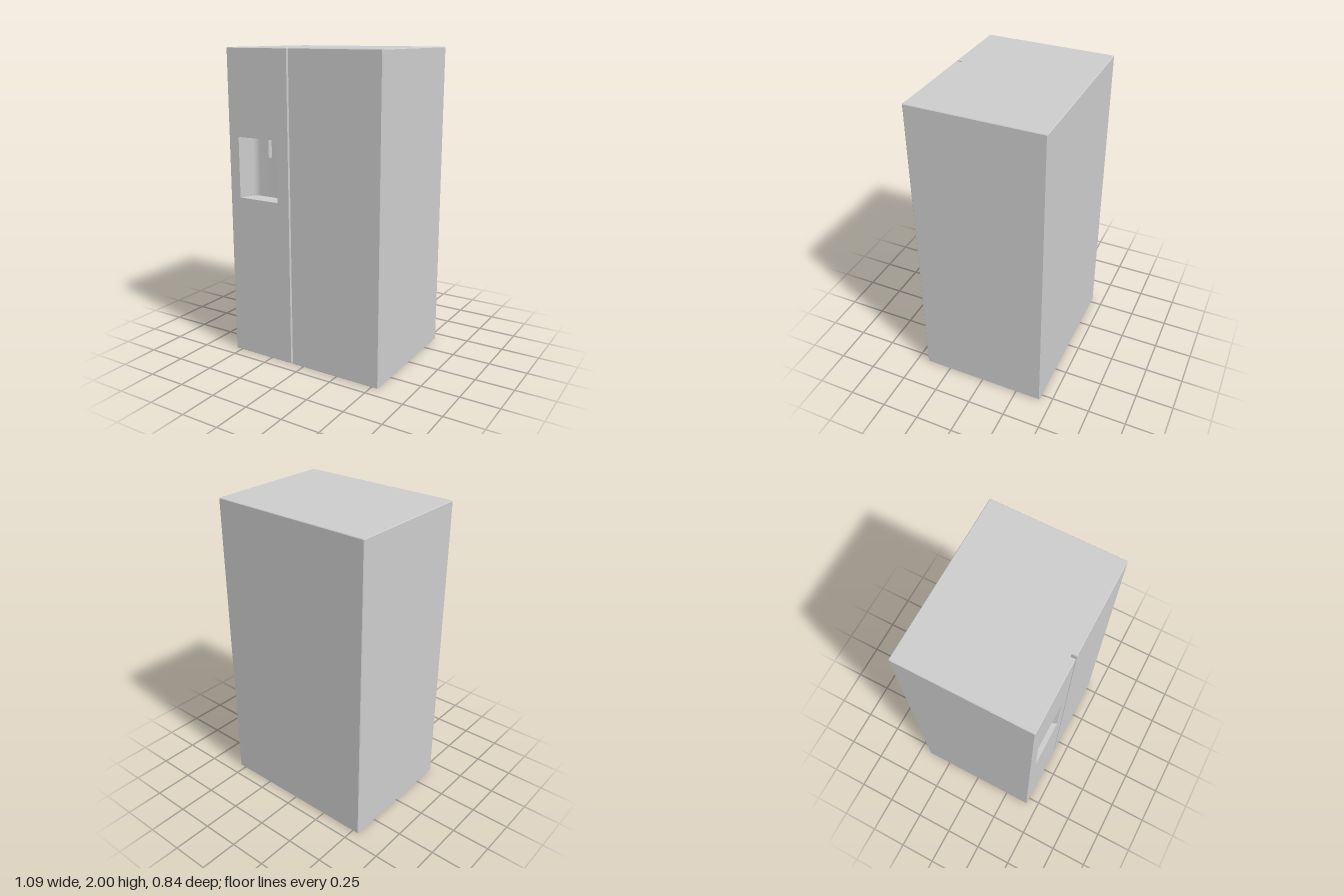
import * as THREE from 'three';
import { toCreasedNormals } from 'three/addons/utils/BufferGeometryUtils.js';

const W = 0.545, D = 0.422, H = 2, B = 0.004;          // half width, half depth, height, bevel
const GL = -0.093, GR = -0.079, GZ = 0.39;             // groove between the doors
const RL = -0.47, RR = -0.175, RB = 1.06, RT = 1.45;   // dispenser recess
const RZ = 0.312;                                      // back of the recess

const material = new THREE.MeshStandardMaterial({ color: 0xcccccc });

// Plan outline [x, z], anticlockwise from above, inset by i
function outline(i) {
  return [
    [-W + B, D - i], [GL - i, D - i], [GL - i, GZ - i], [GR + i, GZ - i], [GR + i, D - i], [W - B, D - i],
    [W - i, D - B], [W - i, -D + B], [W - B, -D + i], [-W + B, -D + i], [-W + i, -D + B], [-W + i, D - B],
  ];
}

// Wall between two plan outlines, from segment `from` to segment `to`
function wall(low, y0, high, y1, from = 0, to = low.length) {
  const pos = [];
  for (let j = from; j < to; j++) {
    const k = (j + 1) % low.length;
    const a = [low[j][0], y0, low[j][1]], b = [low[k][0], y0, low[k][1]];
    const c = [high[k][0], y1, high[k][1]], d = [high[j][0], y1, high[j][1]];
    pos.push(...a, ...b, ...c, ...a, ...c, ...d);
  }
  const geo = new THREE.BufferGeometry();
  geo.setAttribute('position', new THREE.Float32BufferAttribute(pos, 3));
  return toCreasedNormals(geo, 0.5);
}

// Horizontal face filling a plan outline, facing up or down
function cap(points, y, up) {
  const s = up ? -1 : 1;
  const shape = new THREE.Shape(points.map(([x, z]) => new THREE.Vector2(x, s * z)));
  return new THREE.ShapeGeometry(shape).rotateX(s * Math.PI / 2).translate(0, y, 0);
}

export function createModel() {
  const model = new THREE.Group();
  const add = (name, geo, parent = model) => {
    const mesh = new THREE.Mesh(geo, material);
    mesh.name = name;
    parent.add(mesh);
    return mesh;
  };

  // Cabinet shell with door groove and fine bevels; the dispenser door face is left open
  const cabinet = new THREE.Group();
  cabinet.name = 'cabinet';
  model.add(cabinet);
  const full = outline(0), inset = outline(B);
  add('shell', wall(full, B, full, H - B, 1), cabinet);
  add('bottomBevel', wall(inset, 0, full, B), cabinet);
  add('topBevel', wall(full, H - B, inset, H), cabinet);
  add('topPanel', cap(inset, H, true), cabinet);
  add('bottomPanel', cap(inset, 0, false), cabinet);

  // Door front with the dispenser opening
  const rect = (x0, y0, x1, y1) => [[x0, y0], [x1, y0], [x1, y1], [x0, y1]].map(p => new THREE.Vector2(...p));
  const door = new THREE.Shape(rect(-W + B, B, GL, H - B));
  door.holes.push(new THREE.Path(rect(RL, RB, RR, RT)));
  add('dispenserDoorFront', new THREE.ShapeGeometry(door).translate(0, 0, D));

  // Recess with slanted sides rounding into a flat back
  const dispenser = new THREE.Group();
  dispenser.name = 'dispenser';
  model.add(dispenser);
  const path = new THREE.Path();
  path.moveTo(RL, D);
  path.lineTo(RL + 0.035, RZ + 0.03);
  path.quadraticCurveTo(RL + 0.046, RZ, RL + 0.08, RZ);
  path.lineTo(RR - 0.08, RZ);
  path.quadraticCurveTo(RR - 0.046, RZ, RR - 0.035, RZ + 0.03);
  path.lineTo(RR, D);
  const plan = path.getPoints(8).map(p => [p.x, p.y]);
  add('recessWall', wall(plan, RB, plan, RT, 0, plan.length - 1), dispenser);
  add('recessFloor', cap(plan, RB, true), dispenser);
  add('recessCeiling', cap(plan, RT, false), dispenser);

  // Spout hanging from the recess ceiling
  const spout = add('spout', new THREE.BoxGeometry(0.055, 0.13, 0.033), dispenser);
  spout.position.set((RL + RR) / 2, RT - 0.065, RZ + 0.0165);

  return model;
}
